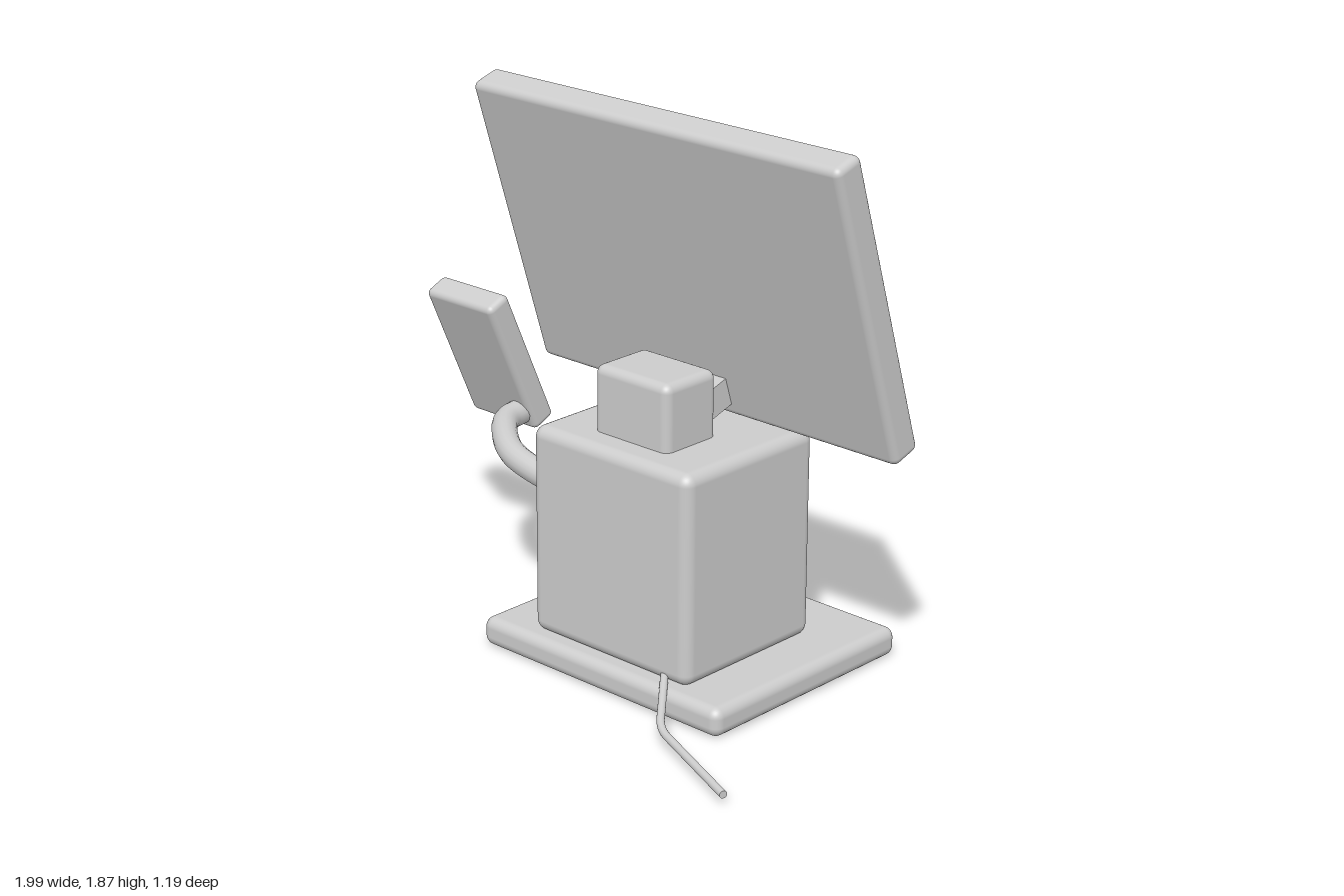
import * as THREE from 'three';
import { RoundedBoxGeometry } from 'three/addons/geometries/RoundedBoxGeometry.js';

export function createModel() {
  const model = new THREE.Group();
  model.name = 'checkoutTerminal';
  const grey = new THREE.MeshStandardMaterial({ color: 0xcccccc });
  grey.name = 'light grey plastic';

  const add = (parent, name, geometry, x = 0, y = 0, z = 0) => {
    const mesh = new THREE.Mesh(geometry, grey);
    mesh.name = name;
    mesh.position.set(x, y, z);
    parent.add(mesh);
    return mesh;
  };
  // Rounded box given by its limits on each axis
  const block = (parent, name, [x0, x1], [y0, y1], [z0, z1], r) =>
    add(parent, name, new RoundedBoxGeometry(x1 - x0, y1 - y0, z1 - z0, 4, r),
      (x0 + x1) / 2, (y0 + y1) / 2, (z0 + z1) / 2);
  const tilted = (name, x, y, z, angle) => {
    const g = new THREE.Group();
    g.name = name;
    g.position.set(x, y, z);
    g.rotation.x = angle;
    model.add(g);
    return g;
  };
  // Round rod along straight or curved sections, with closed ends
  const rod = (name, path, radius, segments) => {
    const g = new THREE.Group();
    g.name = name;
    add(g, name + 'Tube', new THREE.TubeGeometry(path, segments, radius, 16));
    for (const t of [0, 1]) {
      const cap = add(g, name + 'End', new THREE.CircleGeometry(radius, 16));
      cap.position.copy(path.getPointAt(t));
      const dir = path.getTangentAt(t).multiplyScalar(t ? 1 : -1);
      cap.quaternion.setFromUnitVectors(new THREE.Vector3(0, 0, 1), dir);
    }
    model.add(g);
  };
  const v = (x, y, z) => new THREE.Vector3(x, y, z);

  // Foot, housing and the small block on top
  block(model, 'basePlate', [-0.35, 0.7], [0, 0.1], [-0.6, 0.29], 0.035);
  block(model, 'housing', [-0.165, 0.52], [0.095, 0.815], [-0.37, 0.235], 0.04);
  block(model, 'topBlock', [0.015, 0.335], [0.76, 1.04], [-0.105, 0.13], 0.03);

  // Monitor leaning back, its screen towards -z
  const monitor = tilted('monitor', 0.175, 1.35, -0.15, 0.309);
  add(monitor, 'monitorCase', new RoundedBoxGeometry(1.54, 1.067, 0.117, 4, 0.025));
  add(monitor, 'screen', new THREE.BoxGeometry(1.43, 0.96, 0.004), 0, 0, -0.0595);
  // Short link between monitor and housing, hidden behind the block
  const link = add(model, 'monitorLink', new THREE.BoxGeometry(0.2, 0.1, 0.16), 0.175, 0.9, -0.17);
  link.rotation.x = 0.309;

  // Printer door, slot lip and curled paper slip
  block(model, 'printerDoor', [-0.11, 0.465], [0.17, 0.65], [-0.384, -0.36], 0.004);
  block(model, 'slotLip', [-0.06, 0.41], [0.635, 0.66], [-0.402, -0.36], 0.006);
  const slip = new THREE.Shape();
  slip.moveTo(-0.385, 0.64);
  slip.quadraticCurveTo(-0.405, 0.645, -0.438, 0.735);
  slip.lineTo(-0.43, 0.738);
  slip.quadraticCurveTo(-0.4, 0.66, -0.385, 0.65);
  const slipGeo = new THREE.ExtrudeGeometry(slip, { depth: 0.29, bevelEnabled: false, curveSegments: 8 });
  // Profile x runs along z, so the extrusion runs along -x
  slipGeo.rotateY(-Math.PI / 2);
  add(model, 'paperSlip', slipGeo, 0.32, 0, 0);

  // Arm holding the payment pad
  rod('padArm', new THREE.CatmullRomCurve3([
    v(-0.1, 0.495, 0.0), v(-0.3, 0.515, 0.0), v(-0.52, 0.545, -0.03),
    v(-0.66, 0.568, -0.125), v(-0.72, 0.575, -0.2), v(-0.735, 0.578, -0.28),
  ]), 0.045, 40);

  // Payment pad with display and keys
  const pad = tilted('paymentPad', -0.84, 0.7775, -0.235, 0.419);
  add(pad, 'padCase', new RoundedBoxGeometry(0.32, 0.542, 0.098, 4, 0.022));
  add(pad, 'padDisplay', new THREE.BoxGeometry(0.23, 0.145, 0.005), 0, 0.145, -0.05);
  for (const y of [-0.204, -0.123, -0.06, 0.007]) {
    for (const x of [-0.08, 0, 0.08]) {
      add(pad, 'key', new RoundedBoxGeometry(0.058, 0.036, 0.022, 2, 0.008), x, y, -0.05);
    }
  }

  // Power cable
  const cable = new THREE.CurvePath();
  const bendIn = v(0.555, 0.06, 0.39), bend = v(0.585, 0.048, 0.42), bendOut = v(0.625, 0.046, 0.436);
  cable.add(new THREE.LineCurve3(v(0.41, 0.118, 0.215), bendIn));
  cable.add(new THREE.QuadraticBezierCurve3(bendIn, bend, bendOut));
  cable.add(new THREE.LineCurve3(bendOut, v(0.99, 0.032, 0.582)));
  rod('powerCable', cable, 0.013, 40);

  return model;
}
